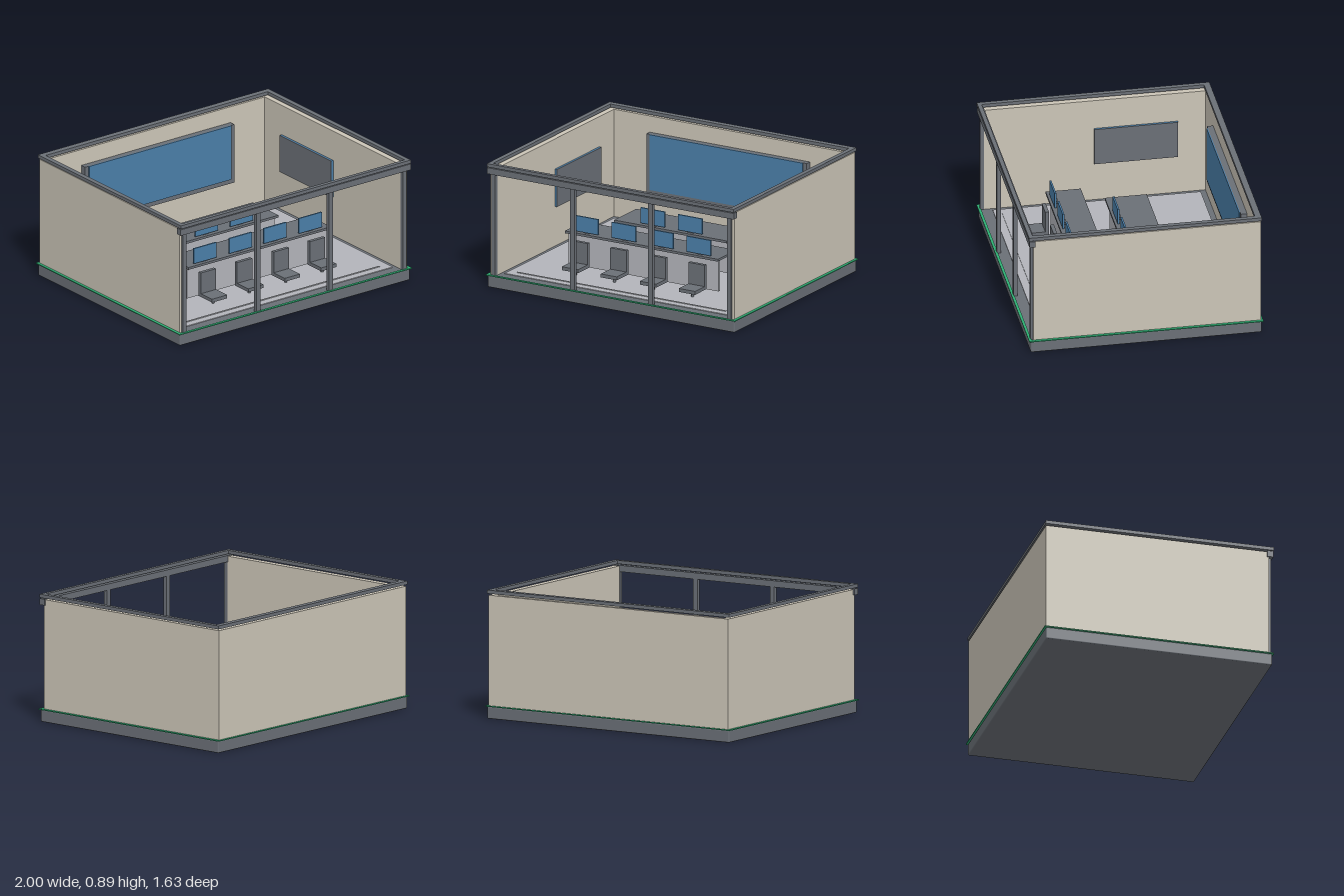
import * as THREE from 'three';
import { RoundedBoxGeometry } from 'three/addons/geometries/RoundedBoxGeometry.js';

const material = (name, color) => {
  const m = new THREE.MeshStandardMaterial({ color });
  m.name = name;
  return m;
};

export function createModel() {
  const model = new THREE.Group();
  model.name = 'controlRoom';

  const metal = material('slate grey', 0x6a6f76);
  const wall = material('warm beige', 0xcbc5b7);
  const floorGrey = material('light grey', 0xb2b4ba);
  const blue = material('screen blue', 0x4a7ea8);
  const green = material('trim green', 0x2fae74);

  // Box given by its low and high limits on each axis
  const box = (parent, name, mat, [x0, x1], [y0, y1], [z0, z1]) => {
    const mesh = new THREE.Mesh(new THREE.BoxGeometry(x1 - x0, y1 - y0, z1 - z0), mat);
    mesh.position.set((x0 + x1) / 2, (y0 + y1) / 2, (z0 + z1) / 2);
    mesh.name = name;
    parent.add(mesh);
    return mesh;
  };
  const group = (name) => {
    const g = new THREE.Group();
    g.name = name;
    model.add(g);
    return g;
  };
  const span = (side, a, b) => (side > 0 ? [a, b] : [-b, -a]);

  // Base slab and floor
  const base = new THREE.Mesh(new RoundedBoxGeometry(1.98, 0.085, 1.61, 2, 0.008), metal);
  base.position.y = 0.0425;
  base.name = 'baseSlab';
  model.add(base);
  box(model, 'floor', floorGrey, [-0.905, 0.905], [0.08, 0.09], [-0.73, 0.72]);
  box(model, 'floorStrip', floorGrey, [-0.84, 0.835], [0.089, 0.094], [0.655, 0.666]);

  // Green trim around the top edge of the base
  const trim = group('baseTrim');
  for (const s of [-1, 1]) {
    box(trim, 'sideTrim', green, span(s, 0.978, 1.0), [0.084, 0.091], [-0.816, 0.816]);
    box(trim, 'endTrim', green, [-0.978, 0.978], [0.084, 0.091], span(s, 0.797, 0.816));
  }

  // Walls
  box(model, 'backWall', wall, [-0.98, 0.98], [0.085, 0.857], [-0.803, -0.768]);
  for (const s of [-1, 1]) {
    box(model, 'sideWall', wall, span(s, 0.933, 0.98), [0.085, 0.857], [-0.768, 0.785]);
  }

  // Open front: posts and header
  for (const x of [-0.945, -0.313, 0.313, 0.945]) {
    const w = Math.abs(x) > 0.5 ? 0.015 : 0.0175;
    box(model, 'frontPost', metal, [x - w, x + w], [0.085, 0.82], [0.775, 0.803]);
  }
  box(model, 'frontHeader', metal, [-0.99, 0.99], [0.818, 0.862], [0.772, 0.814]);

  // Roof rim floating just above the walls
  const rim = group('roofRim');
  box(rim, 'frontRim', metal, [-0.99, 0.99], [0.868, 0.892], [0.787, 0.816]);
  box(rim, 'backRim', metal, [-0.99, 0.99], [0.868, 0.892], [-0.806, -0.763]);
  for (const s of [-1, 1]) {
    box(rim, 'sideRim', metal, span(s, 0.956, 0.99), [0.868, 0.892], [-0.763, 0.787]);
  }

  // Large screen on the back wall
  const display = group('wallDisplay');
  box(display, 'displayFrame', metal, [-0.645, 0.64], [0.31, 0.74], [-0.768, -0.725]);
  box(display, 'displayPanel', blue, [-0.615, 0.61], [0.342, 0.74], [-0.725, -0.717]);

  // Panels on the side walls
  for (const s of [-1, 1]) {
    box(model, 'sidePanelBack', blue, span(s, 0.919, 0.933), [0.37, 0.64], [-0.575, 0.01]);
    box(model, 'sidePanelFace', metal, span(s, 0.915, 0.919), [0.37, 0.64], [-0.575, 0.01]);
  }

  // Desk with a privacy panel and a row of monitors
  const desk = (name, half, zBack, zFront, monitors) => {
    const g = group(name);
    box(g, 'deskTop', metal, [-half, half], [0.34, 0.357], [zBack, zFront]);
    box(g, 'deskPanel', floorGrey, [-half + 0.012, half - 0.012], [0.115, 0.34], [zFront - 0.05, zFront - 0.03]);
    const z = zFront - 0.022;
    for (const x of monitors) {
      box(g, 'monitor', blue, [x - 0.097, x + 0.097], [0.365, 0.476], [z - 0.006, z + 0.006]);
      box(g, 'monitorStand', metal, [x - 0.024, x + 0.024], [0.357, 0.372], [z - 0.034, z - 0.004]);
    }
  };
  desk('frontDesk', 0.613, 0.16, 0.405, [-0.455, -0.152, 0.147, 0.449]);
  desk('backDesk', 0.452, -0.27, 0.022, [-0.152, 0.147]);

  // Chairs
  for (const x of [-0.471, -0.16, 0.155, 0.467]) {
    const g = group('chair');
    box(g, 'chairSeat', metal, [x - 0.065, x + 0.065], [0.133, 0.158], [0.42, 0.572]);
    box(g, 'chairBack', metal, [x - 0.065, x + 0.065], [0.158, 0.311], [0.42, 0.446]);
    const stem = new THREE.Mesh(new THREE.CylinderGeometry(0.01, 0.01, 0.046, 12), metal);
    stem.position.set(x, 0.111, 0.496);
    stem.name = 'chairStem';
    g.add(stem);
  }

  return model;
}
